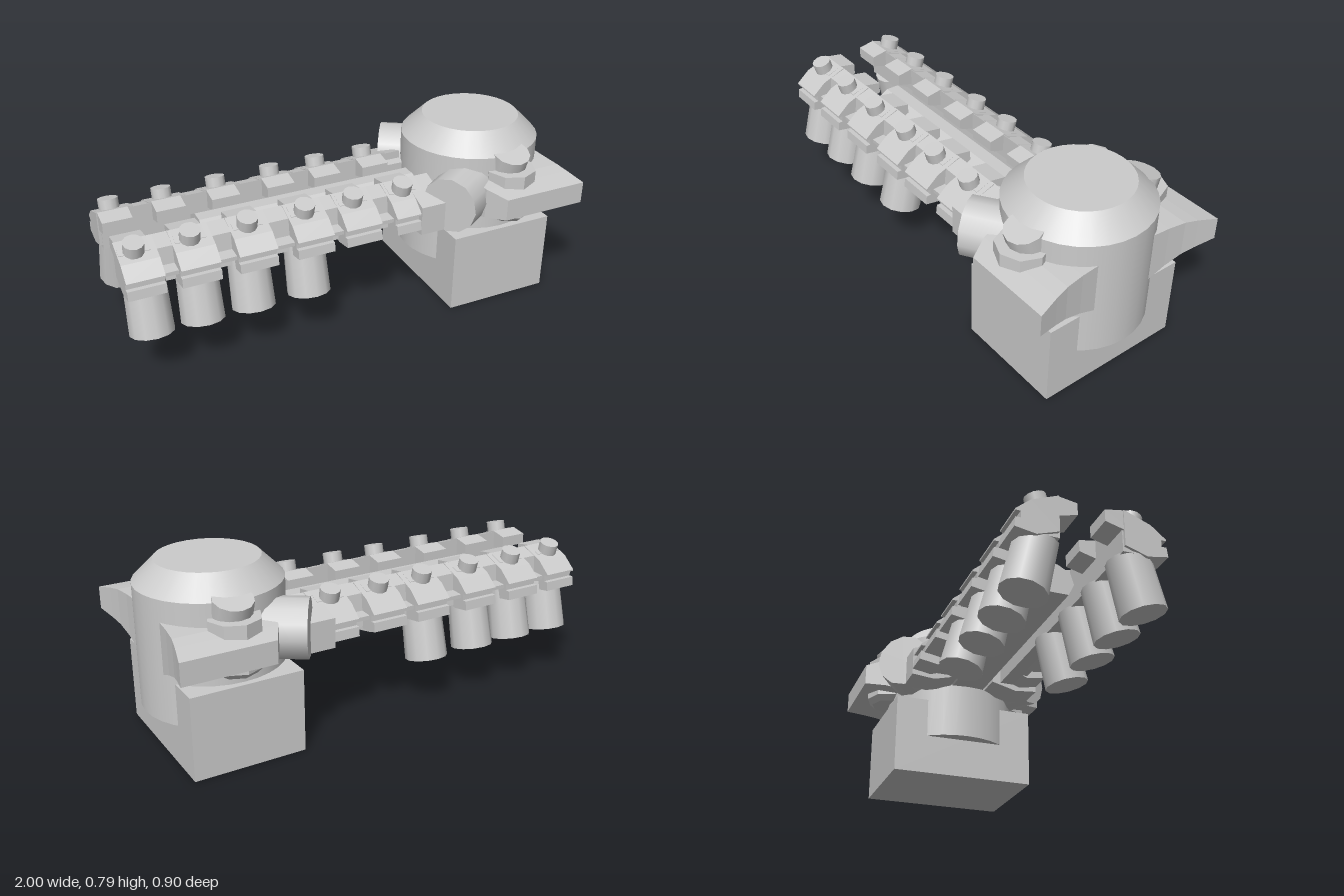
import * as THREE from 'three';

const smooth = new THREE.MeshStandardMaterial({ color: 0xcccccc });
const flat = new THREE.MeshStandardMaterial({ color: 0xcccccc, flatShading: true });

export function createModel() {
  const model = new THREE.Group();

  function add(name, geometry, material = flat) {
    const mesh = new THREE.Mesh(geometry, material);
    mesh.name = name;
    model.add(mesh);
    return mesh;
  }

  // Cylinder running between two points
  function rod(name, from, to, r0, r1, sides, material = smooth) {
    const a = new THREE.Vector3(...from), b = new THREE.Vector3(...to);
    const dir = b.clone().sub(a);
    const mesh = add(name, new THREE.CylinderGeometry(r1, r0, dir.length(), sides), material);
    mesh.position.copy(a).add(b).multiplyScalar(0.5);
    mesh.quaternion.setFromUnitVectors(new THREE.Vector3(0, 1, 0), dir.normalize());
    return mesh;
  }

  // (z, y) section swept along x; side = -1 mirrors it to the back
  function bar(name, section, x0, x1, side = 1) {
    const shape = new THREE.Shape(section.map(([z, y]) => new THREE.Vector2(-side * z, y)));
    const geo = new THREE.ExtrudeGeometry(shape, { depth: x1 - x0, bevelEnabled: false });
    geo.rotateY(Math.PI / 2);
    geo.translate(x0, 0, 0);
    return add(name, geo);
  }

  // Pedestal and drum
  const base = add('pedestal', new THREE.BoxGeometry(0.485, 0.36, 0.66));
  base.position.set(0.6825, 0.18, 0);
  rod('drum', [0.685, 0.18, 0], [0.685, 0.7, 0], 0.305, 0.305, 32);
  rod('drumCap', [0.685, 0.7, 0], [0.685, 0.79, 0], 0.305, 0.215, 32);

  // Wing sections from the drum outwards: z, x0, x1, y0, y1
  const wingSections = [
    [0.05, 0.52, 0.95, 0.37, 0.608],
    [0.145, 0.52, 0.953, 0.39, 0.608],
    [0.22, 0.53, 0.957, 0.42, 0.606],
    [0.30, 0.545, 0.966, 0.445, 0.602],
    [0.36, 0.56, 0.978, 0.458, 0.592],
    [0.45, 0.61, 1.0, 0.475, 0.572],
  ];
  function wing(side) {
    const n = wingSections.length - 1;
    const geo = new THREE.BoxGeometry(1, 1, 1, 1, 1, n);
    const p = geo.attributes.position;
    for (let i = 0; i < p.count; i++) {
      const [z, x0, x1, y0, y1] = wingSections[Math.round((0.5 + side * p.getZ(i)) * n)];
      p.setXYZ(i, p.getX(i) < 0 ? x0 : x1, p.getY(i) < 0 ? y0 : y1, side * z);
    }
    geo.computeVertexNormals();
    add('wing', geo);
  }

  // Arm sections (z, y)
  const railSection = [[0.125, 0.6], [0.2, 0.575], [0.215, 0.43], [0.125, 0.43]];
  const innerSection = [[0.055, 0.59], [0.13, 0.603], [0.2, 0.578], [0.2, 0.5], [0.055, 0.54]];
  const outerSection = [
    [0.13, 0.603], [0.24, 0.56], [0.3, 0.51], [0.3, 0.503], [0.28, 0.503], [0.28, 0.475],
    [0.3, 0.475], [0.305, 0.435], [0.22, 0.42], [0.13, 0.45],
  ];
  const bracketSection = [[0.085, 0.56], [0.2, 0.575], [0.305, 0.54], [0.305, 0.41], [0.2, 0.4], [0.085, 0.43]];
  const stations = [-0.93, -0.705, -0.465, -0.215, 0.005, 0.24];
  const pots = [-0.903, -0.69, -0.47, -0.22];

  for (const s of [1, -1]) {
    wing(s);

    // Bolt through the wing with a tilted cap
    rod('wingBolt', [0.715, 0.44, s * 0.3], [0.715, 0.64, s * 0.3], 0.11, 0.11, 8, flat);
    rod('boltFoot', [0.715, 0.415, s * 0.3], [0.715, 0.44, s * 0.3], 0.085, 0.11, 8, flat);
    rod('boltCap', [0.715, 0.58, s * 0.255], [0.715, 0.71, s * 0.297], 0.083, 0.083, 12);

    // Angled side tube joining the arm to the drum
    rod('sideTube', [0.66, 0.53, s * 0.147], [0.402, 0.53, s * 0.318], 0.128, 0.125, 12);

    // Arm rail, slim ledge and end bracket
    bar('armRail', railSection, -0.985, 0.4, s);
    bar('railLedge', [[0.2, 0.5], [0.265, 0.497], [0.265, 0.48], [0.2, 0.475]], -0.985, 0.29, s);
    bar('armBracket', bracketSection, 0.28, 0.42, s);

    // Clamps with leaning posts
    for (const x of stations) {
      bar('clampInner', innerSection, x - 0.062, x + 0.064, s);
      bar('clampOuter', outerSection, Math.max(x - 0.075, -0.997), x + 0.088, s);
      rod('post', [x, 0.54, s * 0.175], [x, 0.625, s * 0.198], 0.043, 0.043, 12);
    }

    // Hanging pots splayed outwards
    for (const x of pots) {
      rod('pot', [x, 0.228, s * 0.237], [x, 0.45, s * 0.185], 0.093, 0.087, 12);
    }
  }

  // Central beam between the arms
  bar('centreBeam', [
    [-0.1, 0.48], [-0.085, 0.53], [-0.03, 0.56], [0.03, 0.56], [0.085, 0.53], [0.1, 0.48],
    [0.075, 0.43], [-0.075, 0.43],
  ], -0.615, 0.45);

  return model;
}
